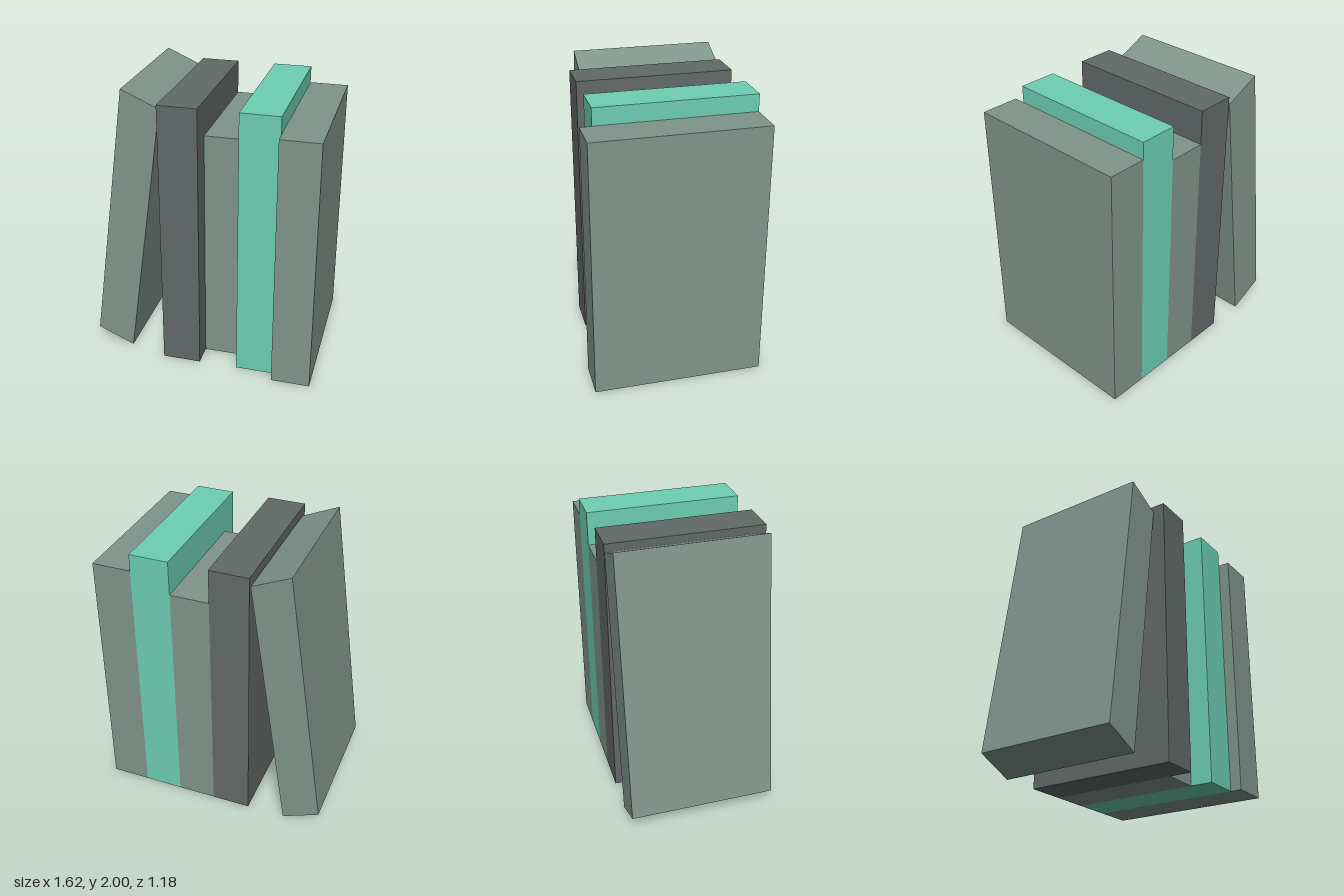
import * as THREE from 'three';

const BACK = -0.59; // all spines are flush at the back

export function createModel() {
  const group = new THREE.Group();
  const material = (color) => new THREE.MeshStandardMaterial({ color, flatShading: true });
  const sage = material(0x80958c);
  const charcoal = material(0x626a68);
  const teal = material(0x6dcfb3);

  // Upright books, side by side from right to left
  const width = 0.2725;
  const books = [
    ['charcoalBook', 1.94, 1.10, charcoal],
    ['shortBook', 1.70, 0.94, sage],
    ['tealBook', 1.94, 1.10, teal],
    ['endBook', 1.82, 1.18, sage],
  ];
  books.forEach(([name, height, depth, mat], i) => {
    const book = new THREE.Mesh(new THREE.BoxGeometry(width, height, depth), mat);
    book.name = name;
    book.position.set(-0.28 + width * (i + 0.5), height / 2, BACK + depth / 2);
    group.add(book);
  });

  // Leaning book: a slanted parallelogram section extruded along z
  const section = new THREE.Shape([
    new THREE.Vector2(-0.55, 0),
    new THREE.Vector2(-0.288, 1.885),
    new THREE.Vector2(-0.55, 2),
    new THREE.Vector2(-0.812, 0.115),
  ]);
  const leaning = new THREE.Mesh(
    new THREE.ExtrudeGeometry(section, { depth: 1.02, bevelEnabled: false }), sage);
  leaning.name = 'leaningBook';
  leaning.position.z = BACK;
  group.add(leaning);

  return group;
}
